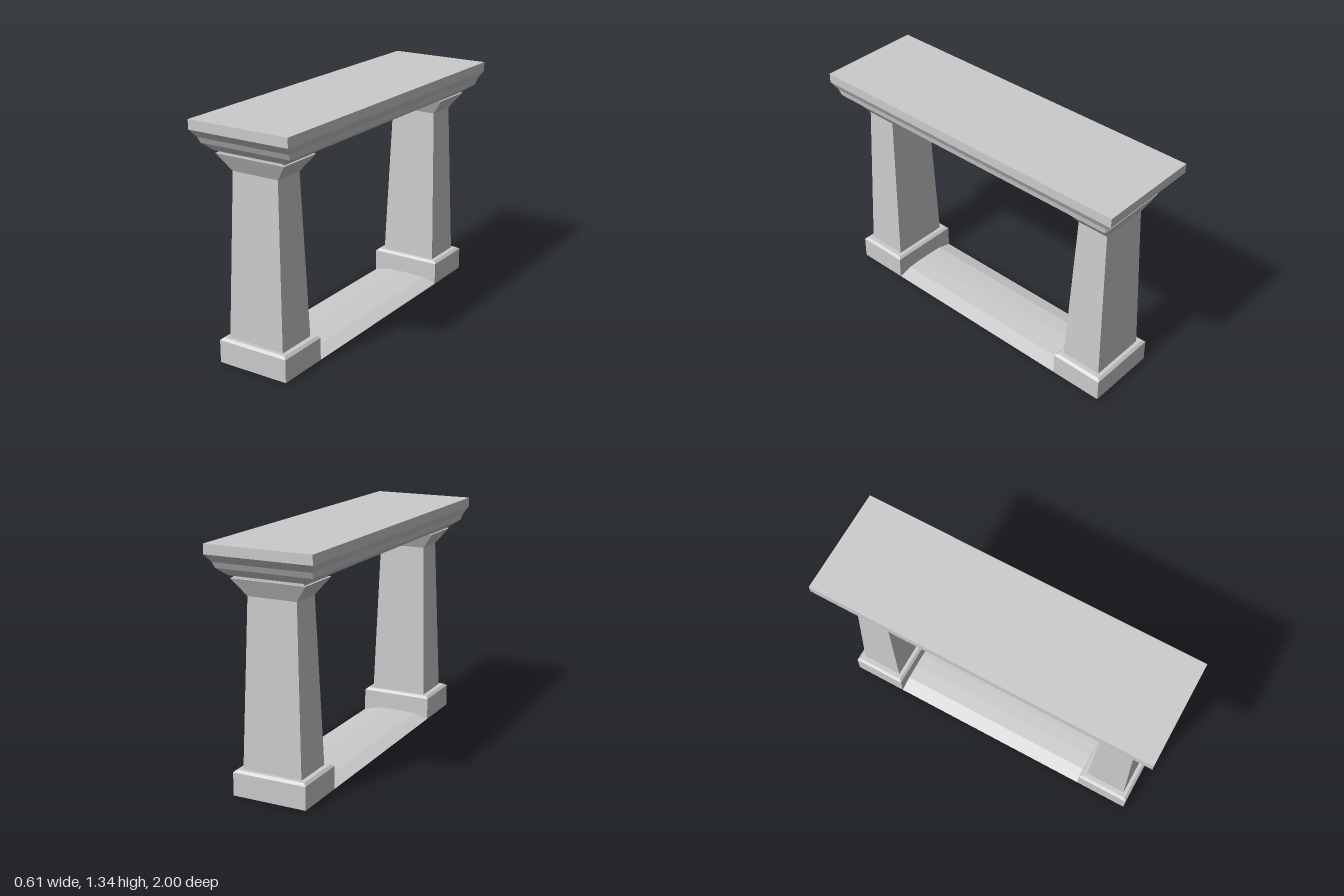
import * as THREE from 'three';

const material = new THREE.MeshStandardMaterial({
  color: 0xcccccc, flatShading: true, side: THREE.DoubleSide,
});

// Mesh from a list of quads (corners counter-clockwise seen from outside)
function quadMesh(name, quads) {
  const pos = [];
  for (const [a, b, c, d] of quads) pos.push(...a, ...b, ...c, ...a, ...c, ...d);
  const geometry = new THREE.BufferGeometry();
  geometry.setAttribute('position', new THREE.Float32BufferAttribute(pos, 3));
  geometry.computeVertexNormals();
  const mesh = new THREE.Mesh(geometry, material);
  mesh.name = name;
  return mesh;
}

// Rectangular rings [y, half width, half depth] joined from bottom to top
function rectLoft(name, rings, capped = false) {
  const corners = rings.map(([y, w, d]) => [[w, y, d], [w, y, -d], [-w, y, -d], [-w, y, d]]);
  const quads = [];
  for (let i = 0; i + 1 < corners.length; i++) {
    for (let k = 0; k < 4; k++) {
      const n = (k + 1) % 4;
      quads.push([corners[i][k], corners[i][n], corners[i + 1][n], corners[i + 1][k]]);
    }
  }
  if (capped) {
    quads.push([...corners[0]].reverse());
    quads.push(corners[corners.length - 1]);
  }
  return quadMesh(name, quads);
}

function createColumn(name, z) {
  const column = new THREE.Group();
  column.name = name;
  column.position.z = z;
  column.add(
    // Hollow plinth with a chamfered upper edge and a ledge to the shaft
    rectLoft('plinth', [[0, 0.215, 0.157], [0.13, 0.215, 0.157], [0.143, 0.2, 0.143], [0.143, 0.173, 0.122]]),
    // Tapered shaft
    rectLoft('shaft', [[0.143, 0.173, 0.122], [1.065, 0.142, 0.091]]),
    // Flared capital with a thin recessed neck
    rectLoft('capital', [[1.065, 0.142, 0.091], [1.158, 0.215, 0.135], [1.158, 0.203, 0.125], [1.172, 0.203, 0.125]]),
  );
  return column;
}

export function createModel() {
  const model = new THREE.Group();
  model.name = 'columnTable';

  for (const [name, side] of [['frontColumn', 1], ['backColumn', -1]]) {
    model.add(createColumn(name, side * 0.775));
  }

  // Moulded top slab
  model.add(rectLoft('topSlab', [
    [1.172, 0.222, 0.912], [1.21, 0.278, 0.945], [1.243, 0.284, 0.962],
    [1.286, 0.307, 1], [1.34, 0.307, 1],
  ], true));

  // Low cambered floor strip between the plinths
  const half = 0.618;
  const section = [[0.215, 0], [0.13, 0.023], [0.04, 0.028], [-0.04, 0.028], [-0.13, 0.023], [-0.215, 0]];
  const strips = [];
  for (let i = 0; i + 1 < section.length; i++) {
    const [x0, y0] = section[i], [x1, y1] = section[i + 1];
    strips.push([[x0, y0, half], [x0, y0, -half], [x1, y1, -half], [x1, y1, half]]);
  }
  model.add(quadMesh('floorStrip', strips));

  return model;
}
